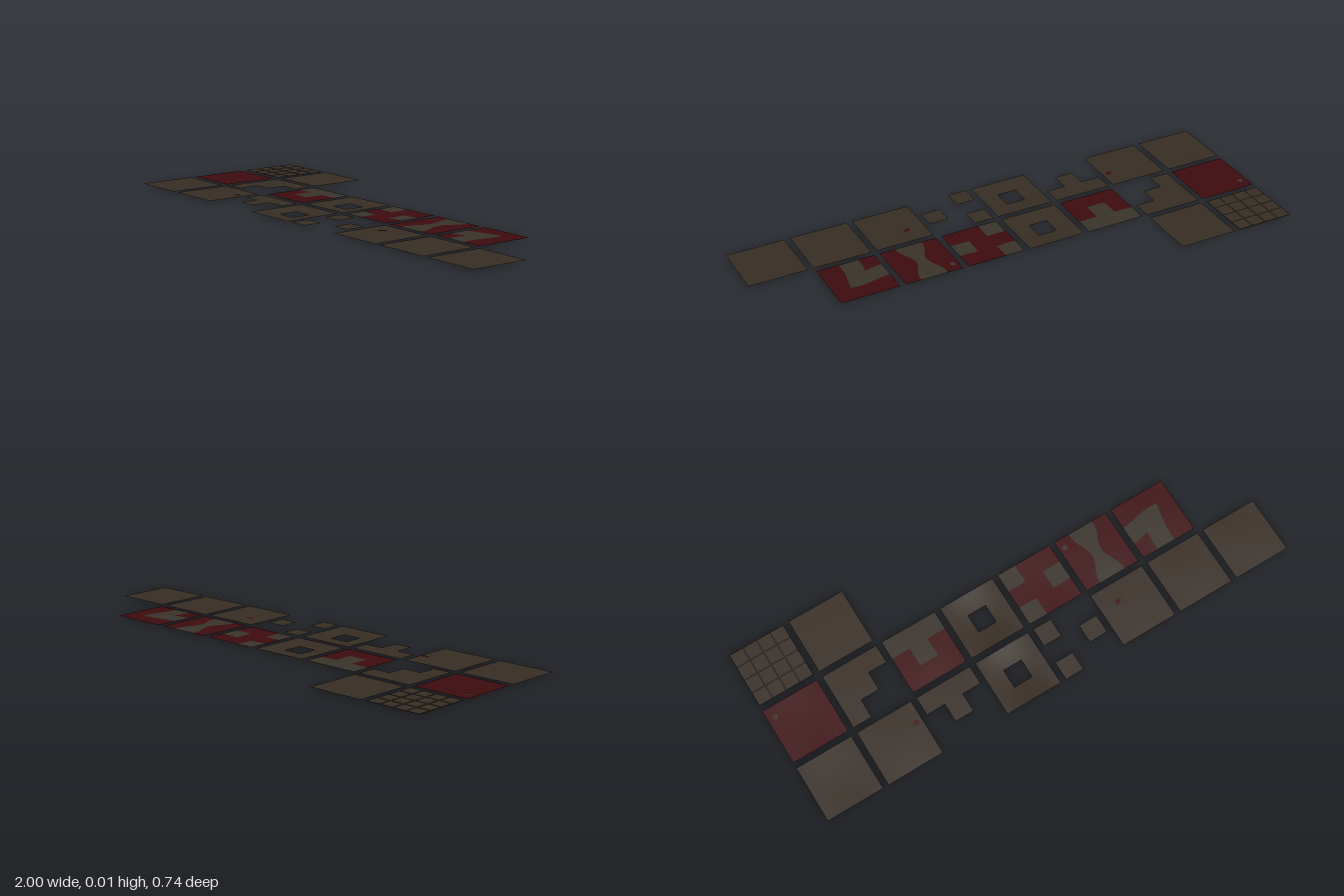
import * as THREE from 'three';

const SIZE = 0.23, PITCH = 0.253, SUB = 4, LEVEL = 0.009;

function material(name, color) {
  const m = new THREE.MeshStandardMaterial({ color, side: THREE.DoubleSide });
  m.name = name;
  return m;
}

// One floor tile: a 3 x 3 map of patches (B stone, M mossy stone, R red, . open),
// with optional warping of patch borders and a gentle rise or dip in the middle.
function tileGeometry(map, order, relief, warp) {
  const n = 3 * SUB, pos = [], index = [], geo = new THREE.BufferGeometry();
  for (let j = 0; j <= n; j++) for (let i = 0; i <= n; i++) {
    let u = i / n, v = j / n;
    const bump = Math.sin(Math.PI * u) * Math.sin(Math.PI * v);
    if (warp) [u, v] = warp(u, v);
    pos.push((u - 0.5) * SIZE, relief * bump, (v - 0.5) * SIZE);
  }
  order.forEach((key, k) => {
    const start = index.length;
    for (let j = 0; j < n; j++) for (let i = 0; i < n; i++) {
      if (map[Math.floor(j / SUB)][Math.floor(i / SUB)] !== key) continue;
      const a = j * (n + 1) + i, b = a + 1, c = a + n + 1, d = c + 1;
      index.push(a, c, b, b, c, d);
    }
    geo.addGroup(start, index.length - start, k);
  });
  geo.setAttribute('position', new THREE.Float32BufferAttribute(pos, 3));
  geo.setIndex(index);
  geo.computeVertexNormals();
  return geo;
}

export function createModel() {
  const group = new THREE.Group();
  const mats = {
    B: material('brown stone', 0x362c23),
    M: material('mossy stone', 0x38322a),
    R: material('dark red', 0x3d0b0e),
    G: material('groove', 0x1c1712),
  };
  const full = ['BBB', 'BBB', 'BBB'];
  const ring = ['BBB', 'B.B', 'BBB'];

  // Border warps leave the outer edge of a tile in place
  const wavyStrip = (u, v) => {
    const flare = 0.06 * Math.cos(2 * Math.PI * v) + 0.015 * Math.sin(9 * v);
    return [u + (u < 0.5 ? -1 : 1) * flare * Math.min(1, 3 * Math.min(u, 1 - u))
      * Math.min(1, 6 * Math.abs(u - 0.5)), v];
  };
  const bend = (u, v) => [
    u + 0.06 * Math.sin(Math.PI * u) * Math.sin(1 + 4 * v),
    v + 0.05 * Math.sin(Math.PI * v) * Math.cos(6 * u)];

  // name, column, row, patches, relief, warp
  const tiles = [
    ['plainTile', 1, 0, full, 0],
    ['redTile', 0, 1, ['RRR', 'RRR', 'RRR'], -0.002],
    ['cornerTile', 1, 1, ['BBB', 'BB.', 'B..'], 0.001],
    ['redInletTile', 2, 1, ['MMM', 'RMR', 'RRR'], 0.002],
    ['holeTile', 3, 1, ring, -0.009],
    ['redIslandTile', 4, 1, ['MRR', 'RRM', 'MRR'], -0.002],
    ['redBridgeTile', 5, 1, ['RMR', 'RMR', 'RMR'], 0.002, wavyStrip],
    ['redBendTile', 6, 1, ['RRR', 'MMR', 'RMR'], 0.002, bend],
    ['crackedTile', 0, 2, full, -0.003],
    ['spottedTile', 1, 2, full, 0.002],
    ['teeTile', 2, 2, ['BBB', '.B.', '...'], 0.001],
    ['holeTile', 3, 2, ring, -0.009],
    ['islandTile', 4, 2, ['B..', '..B', 'B..'], -0.001],
    ['stainedTile', 5, 2, full, 0.001],
    ['wornTile', 6, 2, full, 0.002],
    ['wornTile', 7, 2, full, 0.002],
  ];
  const place = (obj, name, col, row, y = LEVEL) => {
    obj.name = name;
    obj.position.set(-1 + SIZE / 2 + col * PITCH, y, (row - 1) * PITCH);
    group.add(obj);
  };
  for (const [name, col, row, map, relief, warp] of tiles) {
    const order = ['B', 'M', 'R'].filter(k => map.join('').includes(k));
    const geo = tileGeometry(map, order, relief, warp);
    place(new THREE.Mesh(geo, order.map(k => mats[k])), name, col, row);
  }

  // Paved tile: sixteen slabs over a dark groove plate
  const paved = new THREE.Group();
  const plate = new THREE.Mesh(new THREE.PlaneGeometry(SIZE, SIZE).rotateX(-Math.PI / 2), mats.G);
  plate.name = 'groovePlate';
  plate.position.y = -0.001;
  paved.add(plate);
  const step = SIZE / 4;
  for (let j = 0; j < 4; j++) for (let i = 0; i < 4; i++) {
    const slab = new THREE.Mesh(new THREE.PlaneGeometry(step - 0.007, step - 0.007).rotateX(-Math.PI / 2), mats.B);
    slab.name = 'pavingSlab';
    slab.position.set((i - 1.5) * step, 0.001, (j - 1.5) * step);
    paved.add(slab);
  }
  place(paved, 'pavedTile', 0, 0, 0.0095);

  // Small spots lying on the tiles: x, z, length, width, angle, colour
  const spots = [
    [-0.97, -0.07, 0.022, 0.022, 0.2, 'M'], [0.288, -0.075, 0.02, 0.024, 0.3, 'M'],
    [-0.543, 0.22, 0.03, 0.022, 0, 'R'], [0.341, 0.211, 0.036, 0.02, 0.5, 'R'],
  ];
  for (const [x, z, l, w, angle, key] of spots) {
    const spot = new THREE.Mesh(new THREE.CircleGeometry(0.5, 7).rotateX(-Math.PI / 2), mats[key]);
    spot.name = 'spot';
    spot.scale.set(l, 1, w);
    spot.rotation.y = angle;
    spot.position.set(x, 0.0112, z);
    group.add(spot);
  }
  return group;
}
